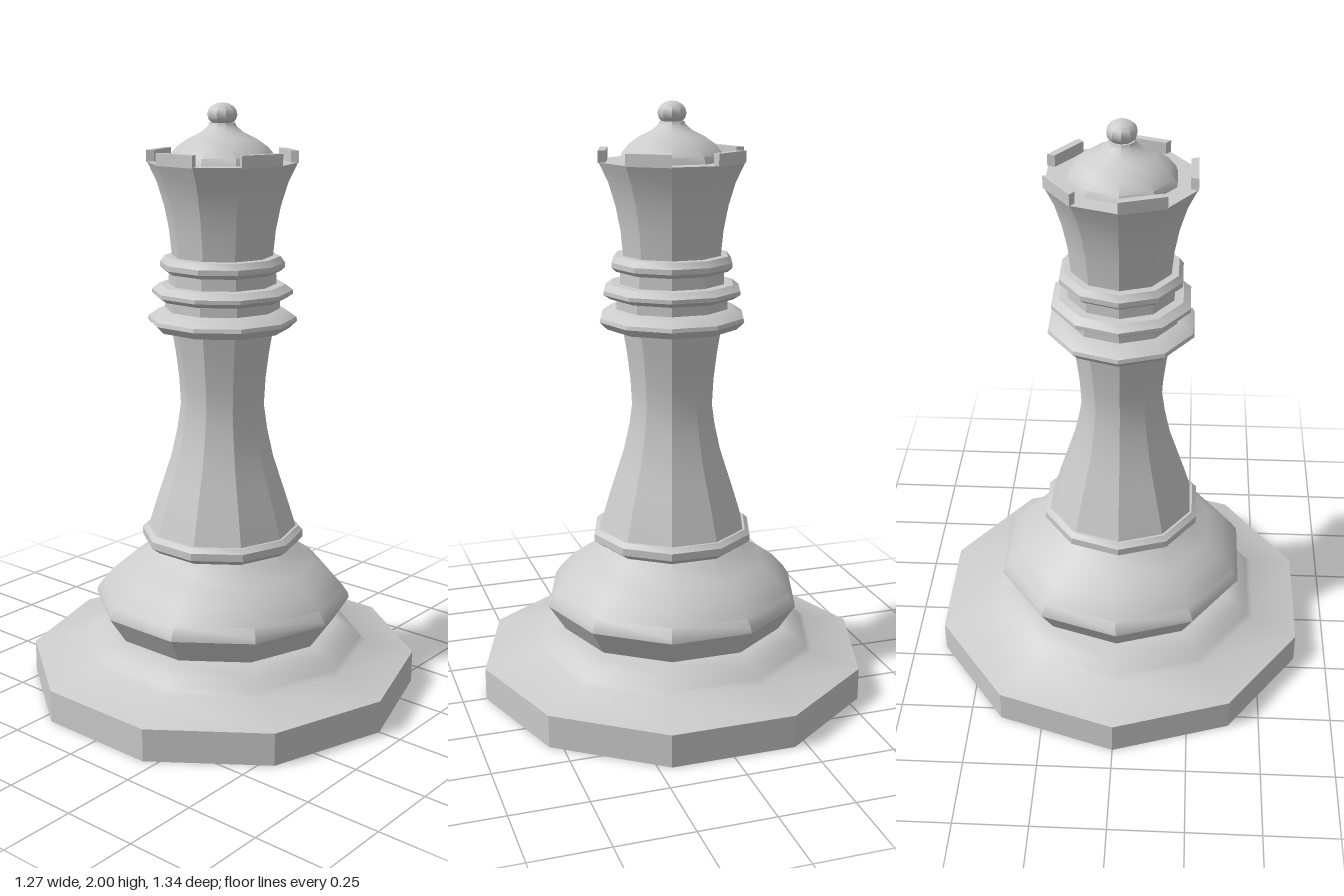
import * as THREE from 'three';
import { toCreasedNormals } from 'three/addons/utils/BufferGeometryUtils.js';

const SIDES = 10;
const material = new THREE.MeshStandardMaterial({ color: 0xcccccc });

// Ten-sided turned part from [radius, height] pairs, listed bottom to top
function turned(name, profile) {
  const points = profile.map(([r, y]) => new THREE.Vector2(r, y));
  const geometry = toCreasedNormals(new THREE.LatheGeometry(points, SIDES), Math.PI / 6);
  const mesh = new THREE.Mesh(geometry, material);
  mesh.name = name;
  return mesh;
}

// Raised wall along one side of the crown rim, facing -x
function merlonGeometry(outer, inner, y, height) {
  const a = Math.PI / SIDES;
  const c = Math.cos(a), s = Math.sin(a);
  const shape = new THREE.Shape([
    new THREE.Vector2(-outer * c, -outer * s),
    new THREE.Vector2(-inner * c, -inner * s),
    new THREE.Vector2(-inner * c, inner * s),
    new THREE.Vector2(-outer * c, outer * s),
  ]);
  return new THREE.ExtrudeGeometry(shape, { depth: height, bevelEnabled: false })
    .rotateX(-Math.PI / 2).translate(0, y, 0);
}

export function createModel() {
  const model = new THREE.Group();
  model.name = 'chessQueen';

  model.add(
    // Foot
    turned('plinth', [[0, 0], [0.67, 0], [0.67, 0.11], [0.505, 0.15], [0.485, 0.165], [0.455, 0.195], [0.405, 0.22], [0.36, 0.222]]),
    turned('baseBulge', [[0.36, 0.22], [0.385, 0.22], [0.443, 0.31], [0.44, 0.325], [0.42, 0.355], [0.375, 0.405], [0.32, 0.445], [0.265, 0.48], [0.235, 0.51], [0.22, 0.515]]),
    turned('baseCollar', [[0.22, 0.508], [0.25, 0.51], [0.278, 0.53], [0.278, 0.555], [0.262, 0.57], [0.24, 0.57]]),
    // Waisted shaft
    turned('shaft', [[0.255, 0.565], [0.229, 0.65], [0.203, 0.73], [0.174, 0.82], [0.154, 0.91], [0.141, 1.0], [0.146, 1.09], [0.157, 1.18], [0.172, 1.27]]),
    // Stacked neck rings
    turned('lowerNeckRing', [[0.16, 1.262], [0.225, 1.265], [0.25, 1.29], [0.247, 1.303], [0.21, 1.328], [0.18, 1.332]]),
    turned('lowerNeck', [[0.192, 1.325], [0.192, 1.37]]),
    turned('middleNeckRing', [[0.18, 1.36], [0.212, 1.365], [0.235, 1.38], [0.235, 1.393], [0.21, 1.412], [0.17, 1.414]]),
    turned('upperNeck', [[0.18, 1.405], [0.178, 1.465]]),
    turned('upperNeckRing', [[0.17, 1.45], [0.192, 1.455], [0.207, 1.468], [0.207, 1.485], [0.192, 1.505], [0.155, 1.507]]),
    // Flared head with a flat top
    turned('crown', [[0.167, 1.5], [0.176, 1.59], [0.192, 1.67], [0.215, 1.745], [0.246, 1.81], [0.17, 1.81]]),
    turned('crownDome', [[0.182, 1.805], [0.172, 1.832], [0.148, 1.86], [0.112, 1.885], [0.07, 1.905], [0.046, 1.925], [0.042, 1.936], [0, 1.936]]),
  );

  // Finial
  const finial = Array.from({ length: 9 }, (_, i) => {
    const t = -Math.PI / 2 + (i / 8) * Math.PI;
    return [Math.max(0, 0.049 * Math.cos(t)), 1.962 + 0.038 * Math.sin(t)];
  });
  model.add(turned('finial', finial));

  // Merlons on every other side of the rim
  const geometry = merlonGeometry(0.249, 0.223, 1.808, 0.04);
  for (let i = 0; i < SIDES / 2; i++) {
    const merlon = new THREE.Mesh(geometry, material);
    merlon.name = 'merlon' + (i + 1);
    merlon.rotation.y = (i * 4 * Math.PI) / SIDES;
    model.add(merlon);
  }
  return model;
}
